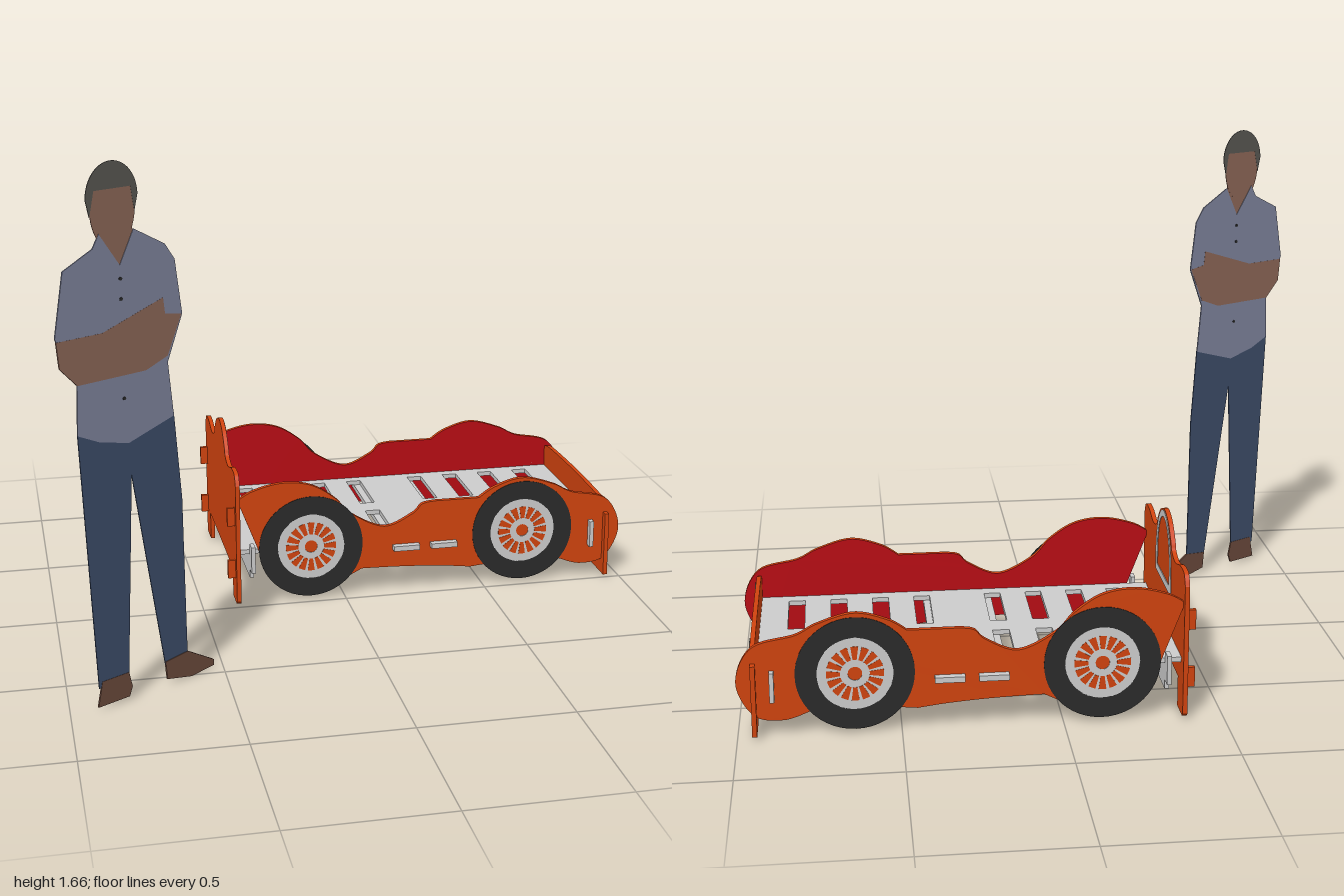
import * as THREE from 'three';

const COLORS = {
  orange: 0xd0430e, red: 0xb80c14, grey: 0xcccccc, black: 0x2a2a2a, white: 0xd8d8d8, beige: 0xe0dcc4,
  shirt: 0x80859e, skin: 0x8e6858, denim: 0x3d4d6a, leather: 0x6b4a3c, hair: 0x5a5853,
};
const mats = {};
for (const k in COLORS) mats[k] = new THREE.MeshStandardMaterial({ color: COLORS[k], side: THREE.DoubleSide });

const vec = pts => pts.map(([x, y]) => new THREE.Vector2(x, y));
const poly = pts => new THREE.Shape(vec(pts));
const rect = (x0, y0, x1, y1) => poly([[x0, y0], [x1, y0], [x1, y1], [x0, y1]]);
function disc(x, y, r, hole = 0) {
  const s = new THREE.Shape().absarc(x, y, r, 0, Math.PI * 2);
  if (hole) s.holes.push(new THREE.Path().absarc(x, y, hole, 0, Math.PI * 2, true));
  return s;
}

const MID = 0.37;       // middle of the bed, as -z
const FRONT_X = 0.955;  // outer face of the front board
const WHEELS = [-0.12, 0.64], WHEEL_Y = 0.195, WHEEL_R = 0.182;

// Mirrored outline: straight corners, then a curve ending on the middle line
function symmetric(corners, curve) {
  const right = pts => pts.map(([h, y]) => [MID + h, y]);
  const left = pts => pts.map(([h, y]) => [MID - h, y]).reverse();
  const s = new THREE.Shape();
  s.moveTo(...right(corners)[0]);
  for (const p of right(corners.slice(1))) s.lineTo(...p);
  s.splineThru(vec([...right(curve), ...left([corners.at(-1), ...curve.slice(0, -1)])]));
  for (const p of left(corners.slice(0, -1))) s.lineTo(...p);
  return s;
}

function add(parent, name, geo, mat) {
  const m = new THREE.Mesh(geo, mats[mat]);
  m.name = name;
  parent.add(m);
}
const slab = (shape, depth) => new THREE.ExtrudeGeometry(shape, { depth, bevelEnabled: false, curveSegments: 24 });
// Upright board across the bed: shape is drawn as (-z, y) and grows towards +x
const crossBoard = (g, name, shape, x, t, mat) =>
  add(g, name, slab(shape, t).rotateY(Math.PI / 2).translate(x, 0, 0), mat);
// Lying board: shape is drawn as (x, -z) and grows upwards
const flatBoard = (g, name, shape, y, t, mat) =>
  add(g, name, slab(shape, t).rotateX(-Math.PI / 2).translate(0, y, 0), mat);

// Car-shaped side silhouette with the wheels bulging below
function sideShape() {
  const s = new THREE.Shape();
  const a = Math.asin(0.118 / WHEEL_R);
  s.moveTo(-0.375, 0.075);
  s.absarc(WHEELS[0], WHEEL_Y, WHEEL_R, Math.PI + a, -a);
  s.lineTo(0.06, 0.098);
  s.quadraticCurveTo(0.3, 0.095, 0.45, 0.072);
  s.absarc(WHEELS[1], WHEEL_Y, WHEEL_R, Math.PI + a, -a);
  // Nose and front wing
  s.splineThru(vec([[0.86, 0.052], [0.95, 0.072], [1, 0.18], [0.95, 0.29], [0.82, 0.325], [0.75, 0.36],
    [0.64, 0.39], [0.54, 0.365], [0.48, 0.328]]));
  s.lineTo(0.32, 0.328);
  // Low entry and rear wing
  s.splineThru(vec([[0.275, 0.32], [0.24, 0.287], [0.14, 0.248], [0.025, 0.302], [-0.035, 0.365],
    [-0.12, 0.418], [-0.22, 0.432], [-0.32, 0.41], [-0.375, 0.38]]));
  return s;
}

function addSide(bed, side) {
  const g = new THREE.Group();
  g.name = side > 0 ? 'leftSide' : 'rightSide';
  // Layers run from d to d + t, measured outwards from the middle of the bed
  const layer = (name, shape, d, t, mat) =>
    add(g, name, slab(shape, t).translate(0, 0, side > 0 ? d - MID : -MID - d - t), mat);
  const shape = sideShape();
  layer('sidePanel', shape, 0.332, 0.014, 'orange');
  layer('innerLining', shape, 0.33, 0.002, 'red');
  for (const y of [0.1, 0.29]) layer('panelTab', rect(-0.41, y, -0.375, y + 0.065), 0.332, 0.014, 'orange');
  for (const cx of WHEELS) {
    layer('tyre', disc(cx, WHEEL_Y, WHEEL_R, 0.116), 0.346, 0.002, 'black');
    layer('rim', disc(cx, WHEEL_Y, 0.117, 0.022), 0.346, 0.002, 'grey');
    // Openings between the spokes
    for (let i = 0; i < 16; i++) {
      const a = (i / 16) * Math.PI * 2, h = 0.137;
      const gap = new THREE.Shape().absarc(cx, WHEEL_Y, 0.088, a - h, a + h);
      gap.absarc(cx, WHEEL_Y, 0.045, a + h, a - h, true);
      layer('spokeGap', gap, 0.348, 0.001, 'orange');
    }
  }
  bed.add(g);
}

// Arched window outline, built as a shape or as a hole
function arch(Path, w, y0, y1) {
  const p = new Path();
  p.moveTo(MID - w, y0);
  p.lineTo(MID + w, y0);
  p.absellipse(MID, y0 + 0.05, w, y1 - y0 - 0.05, 0, Math.PI);
  p.closePath();
  return p;
}

function addHeadboard(bed) {
  const board = symmetric([[0.28, 0.11], [0.28, 0.01], [0.36, 0.01], [0.37, 0.02], [0.37, 0.44]],
    [[0.345, 0.475], [0.28, 0.477], [0.2, 0.458], [0.14, 0.472], [0.12, 0.5], [0.07, 0.546], [0, 0.567]]);
  crossBoard(bed, 'headboard', board, -0.384, 0.015, 'orange');
  const frame = arch(THREE.Shape, 0.137, 0.32, 0.562);
  frame.holes.push(arch(THREE.Path, 0.106, 0.345, 0.54));
  crossBoard(bed, 'windowFrame', frame, -0.369, 0.002, 'grey');
}

function addFrontBoard(bed) {
  const board = symmetric([[0.24, 0.03], [0.25, 0.01], [0.37, 0.01], [0.37, 0.24], [0.336, 0.24], [0.336, 0.268]],
    [[0.27, 0.282], [0, 0.288]]);
  crossBoard(bed, 'frontBoard', board, FRONT_X - 0.015, 0.015, 'orange');
  const decal = (name, shape, mat, lift = 0) => crossBoard(bed, name, shape, FRONT_X + lift, 0.002, mat);
  for (const side of [-1, 1]) {
    const eye = MID + side * 0.244;
    decal('eyeRim', disc(eye, 0.235, 0.045), 'black');
    decal('eye', disc(eye, 0.235, 0.042), 'white', 0.001);
    decal('pupil', disc(eye, 0.222, 0.018), 'black', 0.002);
    // Corner grille with zigzag stripes
    const u = MID + side * 0.289;
    decal('grille', rect(u - 0.039, 0.012, u + 0.039, 0.09), 'black');
    for (const du of [-0.022, 0.006]) {
      const edge = [0, 1, 2, 3, 4].map(i => [u + du + (i % 2) * 0.016, 0.022 + i * 0.013]);
      decal('zigzag', poly([...edge, ...edge.map(([x, y]) => [x + 0.006, y]).reverse()]), 'grey', 0.001);
    }
  }
  decal('mouth', symmetric([[0, 0.086]],
    [[0.09, 0.092], [0.18, 0.112], [0.208, 0.14], [0.19, 0.182], [0.09, 0.158], [0, 0.15]]), 'beige');
  const lip = new THREE.Shape();
  lip.moveTo(0.43, 0.068);
  lip.quadraticCurveTo(0.53, 0.02, 0.575, 0.103);
  lip.quadraticCurveTo(0.52, 0.065, 0.43, 0.068);
  decal('lowerLip', lip, 'grey');
}

function addDeck(bed) {
  // Slatted deck, four pairs of slots either side of the middle support
  const deck = rect(-0.37, 0.04, 0.94, 0.7);
  for (let i = 0; i < 8; i++) {
    const x = (i < 4 ? -0.25 : -0.15) + i * 0.139;
    for (const u of [0.085, 0.415]) deck.holes.push(rect(x - 0.027, u, x + 0.027, u + 0.247));
  }
  flatBoard(bed, 'deck', deck, 0.178, 0.016, 'grey');
  // Middle support with two tabs through each side
  flatBoard(bed, 'middleSupport', rect(0.17, 0.04, 0.4, 0.7), 0.16, 0.018, 'grey');
  for (const x of [0.17, 0.305]) {
    for (const u of [0, 0.7]) flatBoard(bed, 'supportTab', rect(x, u, x + 0.093, u + 0.04), 0.16, 0.018, 'grey');
  }
  // End rails with tabs through the sides
  for (const x of [-0.332, 0.885]) {
    crossBoard(bed, 'endRail', rect(0.04, 0.09, 0.7, 0.178), x, 0.014, 'grey');
    for (const u of [0, 0.7]) crossBoard(bed, 'railTab', rect(u, 0.12, u + 0.04, 0.215), x, 0.014, 'grey');
  }
}

// Flat standing cut-out of a person, each part slightly thicker than the one beneath
function makeFigure() {
  const g = new THREE.Group();
  g.name = 'standingFigure';
  let t = 0.001;
  const part = (name, mat, shape) => {
    add(g, name, slab(shape, t).translate(0, 0, -t / 2), mat);
    t += 0.0008;
  };
  part('neck', 'skin', poly([[0.14, 1.5], [0.14, 1.42], [0.2, 1.34], [0.245, 1.42], [0.24, 1.5]]));
  part('head', 'skin', new THREE.Shape().absellipse(0.184, 1.53, 0.068, 0.12, 0, Math.PI * 2));
  const hair = new THREE.Shape().absellipse(0.183, 1.56, 0.078, 0.105, 0, Math.PI);
  for (const [x, y] of [[0.115, 1.51], [0.13, 1.585], [0.24, 1.585], [0.25, 1.51]]) hair.lineTo(x, y);
  part('hair', 'hair', hair);
  part('trousers', 'denim', poly([[0.055, 0.88], [0.09, 0.07], [0.185, 0.07], [0.215, 0.72], [0.305, 0.07],
    [0.38, 0.07], [0.375, 0.6], [0.355, 0.88]]));
  part('shirt', 'shirt', poly([[0.14, 1.46], [0.12, 1.42], [0.03, 1.37], [0, 1.18], [0.06, 1.04], [0.055, 0.88],
    [0.12, 0.845], [0.21, 0.82], [0.355, 0.87], [0.34, 1.04], [0.39, 1.18], [0.37, 1.35], [0.34, 1.4],
    [0.245, 1.46], [0.2, 1.36]]));
  part('foldedArms', 'skin', poly([[0.003, 1.17], [0.14, 1.17], [0.33, 1.24], [0.335, 1.19], [0.387, 1.18],
    [0.34, 1.06], [0.27, 1.03], [0.06, 1.03], [0.01, 1.09]]));
  part('rightShoe', 'leather', poly([[0.1, 0.09], [0.085, 0.01], [0.185, 0.01], [0.195, 0.04], [0.185, 0.09]]));
  part('leftShoe', 'leather', poly([[0.305, 0.08], [0.31, 0.02], [0.39, 0], [0.468, 0.01], [0.468, 0.03], [0.38, 0.09]]));
  for (const y of [0.96, 1.26, 1.32]) part('button', 'black', disc(0.2, y, 0.005));
  // Turned diagonally in the corner
  g.scale.x = 1.166;
  g.rotation.y = Math.atan(0.6);
  g.position.set(-1, 0, 0.74);
  return g;
}

export function createModel() {
  const model = new THREE.Group();
  const bed = new THREE.Group();
  bed.name = 'carBed';
  for (const side of [1, -1]) addSide(bed, side);
  addHeadboard(bed);
  addFrontBoard(bed);
  addDeck(bed);
  model.add(bed, makeFigure());
  return model;
}
